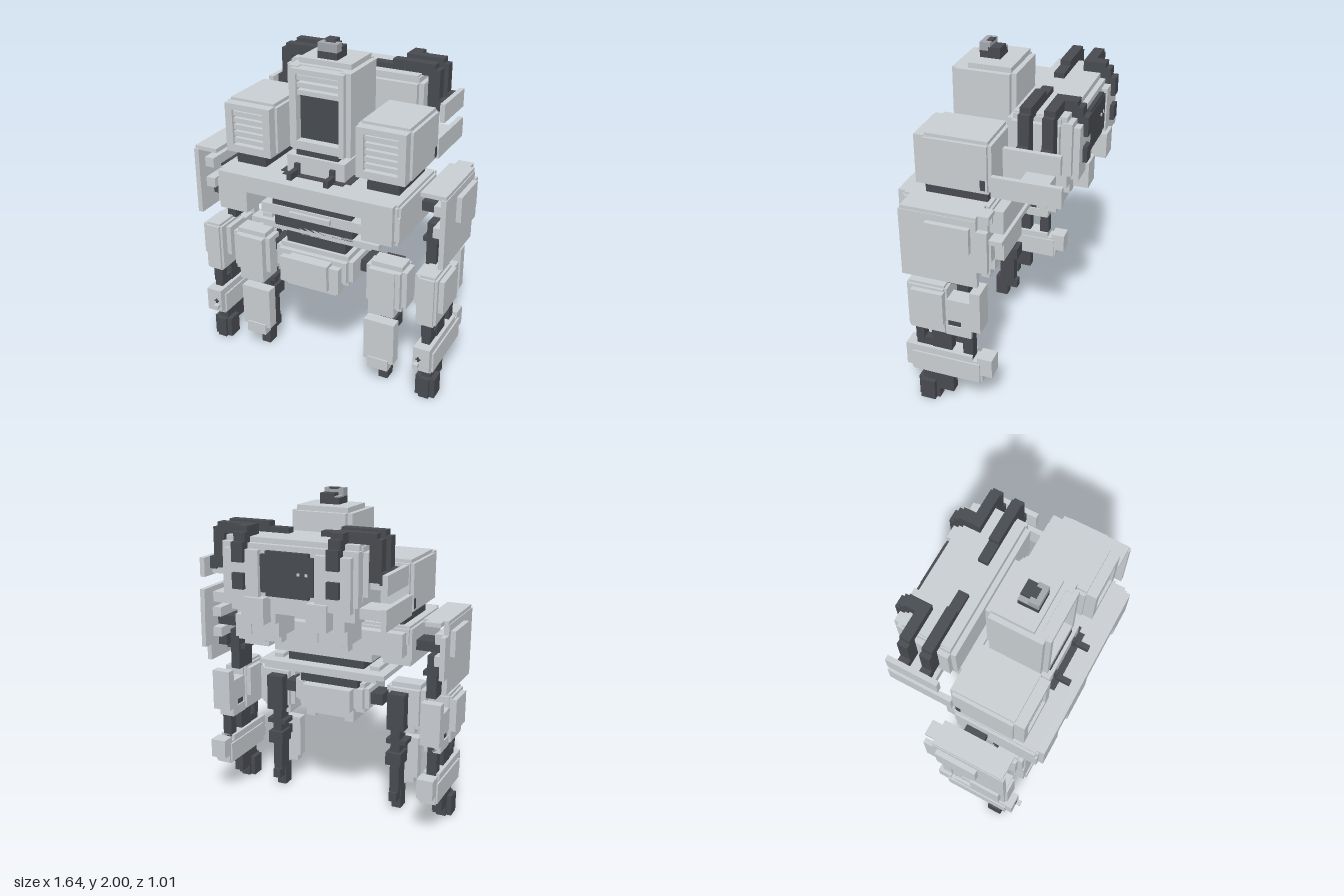
import * as THREE from 'three';
import { mergeGeometries } from 'three/addons/utils/BufferGeometryUtils.js';

const light = new THREE.MeshStandardMaterial({ color: 0xcacfd3 });
light.name = 'pale grey armour';
const dark = new THREE.MeshStandardMaterial({ color: 0x484b50 });
dark.name = 'charcoal frame';
const mid = new THREE.MeshStandardMaterial({ color: 0xa3a8ad });
mid.name = 'lamp grey';

// box given by its min and max on each axis
function boxGeo(x0, x1, y0, y1, z0, z1) {
  return new THREE.BoxGeometry(x1 - x0, y1 - y0, z1 - z0)
    .translate((x0 + x1) / 2, (y0 + y1) / 2, (z0 + z1) / 2);
}
// block whose edges are all cut back by one small step
function steppedGeo([x0, x1, y0, y1, z0, z1], s) {
  return mergeGeometries([
    boxGeo(x0, x1, y0 + s, y1 - s, z0 + s, z1 - s),
    boxGeo(x0 + s, x1 - s, y0, y1, z0 + s, z1 - s),
    boxGeo(x0 + s, x1 - s, y0 + s, y1 - s, z0, z1)
  ]);
}
function part(parent, name, mat, b, step = 0) {
  const m = new THREE.Mesh(step ? steppedGeo(b, step) : boxGeo(...b), mat);
  m.name = name;
  parent.add(m);
}
// same part on both sides of x = 0
function pair(parent, name, mat, b, step = 0) {
  part(parent, name + 'Left', mat, b, step);
  part(parent, name + 'Right', mat, [-b[1], -b[0], b[2], b[3], b[4], b[5]], step);
}
function section(root, name) {
  const g = new THREE.Group();
  g.name = name;
  root.add(g);
  return g;
}

export function createModel() {
  const root = new THREE.Group();
  root.name = 'walkingMachine';
  // head with recessed visor, brow slats and top lamp
  const head = section(root, 'head');
  part(head, 'headCore', light, [-0.19, 0.19, 1.4, 1.91, -0.06, 0.25], 0.03);
  pair(head, 'headCheek', light, [0.13, 0.19, 1.4, 1.88, 0.2, 0.285]);
  pair(head, 'headFrame', light, [0.13, 0.16, 1.4, 1.87, 0.28, 0.315]);
  part(head, 'headBrow', light, [-0.16, 0.16, 1.845, 1.875, 0.2, 0.315]);
  part(head, 'headChin', light, [-0.16, 0.16, 1.4, 1.46, 0.2, 0.315]);
  part(head, 'visor', dark, [-0.13, 0.13, 1.46, 1.72, 0.2, 0.265]);
  for (let i = 0; i < 3; i++)
    part(head, 'browSlat', light, [-0.13, 0.13, 1.725 + i * 0.042, 1.752 + i * 0.042, 0.2, 0.3]);
  part(head, 'lampBase', dark, [-0.06, 0.06, 1.9, 1.95, 0.07, 0.19]);
  part(head, 'lampRear', dark, [-0.03, 0.06, 1.95, 1.972, 0.07, 0.14]);
  part(head, 'lampRearTrim', mid, [-0.06, -0.03, 1.948, 1.956, 0.07, 0.14]);
  part(head, 'lamp', mid, [-0.06, 0.06, 1.95, 1.997, 0.13, 0.19]);
  part(head, 'lampLens', dark, [-0.03, 0.03, 1.99, 2.0, 0.129, 0.16]);
  // neck, flat collar and two small guns
  part(head, 'neck', light, [-0.18, 0.18, 1.26, 1.38, -0.06, 0.34]);
  part(head, 'neckSeal', dark, [-0.13, 0.13, 1.37, 1.41, 0, 0.32]);
  pair(head, 'collar', dark, [0.18, 0.22, 1.265, 1.275, 0.22, 0.345]);
  part(head, 'collarFront', dark, [-0.19, 0.19, 1.265, 1.275, 0.3, 0.38]);
  pair(head, 'gun', dark, [0.095, 0.125, 1.275, 1.34, 0.33, 0.36]);
  pair(head, 'gunBarrel', dark, [0.1, 0.13, 1.27, 1.31, 0.35, 0.44]);

  // shoulder pods with louvred fronts
  const pods = section(root, 'shoulderPods');
  pair(pods, 'pod', light, [0.25, 0.57, 1.34, 1.65, -0.06, 0.34], 0.02);
  pair(pods, 'podRimOuter', light, [0.51, 0.555, 1.345, 1.635, 0.3, 0.38]);
  pair(pods, 'podRimInner', light, [0.265, 0.31, 1.345, 1.635, 0.3, 0.38]);
  pair(pods, 'podRimTop', light, [0.31, 0.51, 1.6, 1.635, 0.3, 0.38]);
  pair(pods, 'podRimBottom', light, [0.31, 0.51, 1.345, 1.39, 0.3, 0.38]);
  for (let i = 0; i < 5; i++)
    pair(pods, 'louvre', light, [0.31, 0.51, 1.4 + i * 0.04, 1.427 + i * 0.04, 0.32, 0.365]);
  pair(pods, 'podFoot', dark, [0.32, 0.51, 1.26, 1.35, -0.02, 0.345]);

  // broad torso with arched front and stacked belly plates
  const torso = section(root, 'torso');
  part(torso, 'deck', light, [-0.57, 0.57, 1.15, 1.27, -0.06, 0.47], 0.015);
  part(torso, 'deckFront', light, [-0.54, 0.54, 1.17, 1.27, 0.44, 0.5]);
  part(torso, 'deckBack', light, [-0.54, 0.54, 1.1, 1.24, -0.12, -0.03]);
  pair(torso, 'sideBlock', light, [0.38, 0.57, 1.06, 1.2, -0.04, 0.47]);
  pair(torso, 'sideBlockFoot', light, [0.38, 0.55, 1.02, 1.07, 0, 0.44]);
  pair(torso, 'sideBlockFront', light, [0.36, 0.54, 1.04, 1.2, 0.43, 0.5]);
  part(torso, 'bellyUpper', dark, [-0.25, 0.25, 1.07, 1.16, 0.02, 0.4]);
  part(torso, 'bellyPlate', light, [-0.32, 0.32, 1.02, 1.08, -0.03, 0.41]);
  part(torso, 'bellyLip', light, [-0.13, 0.13, 1.035, 1.065, 0.4, 0.43]);
  part(torso, 'bellyLower', dark, [-0.25, 0.25, 0.94, 1.03, 0.02, 0.38]);
  part(torso, 'hipPlate', light, [-0.41, 0.41, 0.925, 0.955, -0.06, 0.38]);
  part(torso, 'hipPlateUnder', light, [-0.35, 0.35, 0.895, 0.93, -0.03, 0.35]);
  pair(torso, 'hipPlateTab', light, [0.29, 0.35, 0.95, 0.98, 0.02, 0.35]);
  part(torso, 'waist', dark, [-0.19, 0.19, 0.81, 0.9, 0.06, 0.35]);

  // pelvis with a hollow keel and narrower back
  const pelvis = section(root, 'pelvis');
  part(pelvis, 'pelvisBlock', light, [-0.25, 0.25, 0.64, 0.83, 0.08, 0.4], 0.03);
  part(pelvis, 'pelvisBack', light, [-0.16, 0.16, 0.66, 0.8, 0.02, 0.1]);
  pair(pelvis, 'pelvisKeelSide', light, [0.1, 0.16, 0.58, 0.66, 0.08, 0.41]);
  part(pelvis, 'pelvisKeelFront', light, [-0.1, 0.1, 0.58, 0.66, 0.34, 0.41]);
  part(pelvis, 'pelvisKeelRear', light, [-0.1, 0.1, 0.6, 0.66, 0.08, 0.13]);
  part(pelvis, 'pelvisFront', light, [-0.19, 0.19, 0.61, 0.77, 0.38, 0.44]);
  part(pelvis, 'pelvisCrest', light, [-0.13, 0.13, 0.63, 0.79, 0.4, 0.47]);
  pair(pelvis, 'hipJoint', dark, [0.24, 0.33, 0.7, 0.77, 0.13, 0.27]);

  // inner legs: thigh block, shin shield, dark strut and toe
  const inner = section(root, 'innerLegs');
  pair(inner, 'thigh', light, [0.32, 0.57, 0.54, 0.83, 0.2, 0.37], 0.03);
  pair(inner, 'thighShield', light, [0.35, 0.51, 0.51, 0.8, 0.22, 0.38]);
  pair(inner, 'thighBack', dark, [0.36, 0.47, 0.55, 0.78, 0.13, 0.21]);
  pair(inner, 'kneeStrut', dark, [0.38, 0.44, 0.13, 0.56, 0.15, 0.25]);
  pair(inner, 'kneeBar', dark, [0.35, 0.48, 0.45, 0.48, 0.15, 0.25]);
  pair(inner, 'kneeLink', dark, [0.38, 0.44, 0.34, 0.4, 0.2, 0.32]);
  pair(inner, 'kneeKnob', dark, [0.36, 0.46, 0.32, 0.4, 0.12, 0.24]);
  pair(inner, 'shinShield', light, [0.32, 0.51, 0.18, 0.45, 0.3, 0.37]);
  pair(inner, 'shinTip', light, [0.35, 0.48, 0.13, 0.2, 0.32, 0.38]);
  pair(inner, 'foot', dark, [0.38, 0.44, 0, 0.14, 0.2, 0.28]);
  pair(inner, 'heel', dark, [0.385, 0.435, 0.07, 0.13, 0.13, 0.21]);

  // side armour shells hung outside the outer legs
  const arms = section(root, 'sideArmour');
  pair(arms, 'sidePanel', light, [0.76, 0.79, 0.9, 1.31, -0.06, 0.38]);
  pair(arms, 'sidePanelRear', light, [0.76, 0.79, 1.0, 1.25, -0.12, -0.06]);
  pair(arms, 'sidePlate', light, [0.785, 0.82, 1.12, 1.27, -0.03, 0.22]);
  pair(arms, 'armourRoof', light, [0.64, 0.785, 1.305, 1.33, -0.06, 0.37]);
  pair(arms, 'armourRoofRear', light, [0.67, 0.76, 1.305, 1.33, -0.12, -0.06]);
  pair(arms, 'innerRib', light, [0.7, 0.76, 1.18, 1.24, -0.03, 0.32]);
  pair(arms, 'innerRibLow', light, [0.7, 0.76, 1.05, 1.11, -0.03, 0.32]);
  pair(arms, 'shoulderAxle', dark, [0.56, 0.76, 1.115, 1.175, 0.03, 0.16]);
  pair(arms, 'shoulderPlate', dark, [0.7, 0.76, 0.98, 1.05, 0.03, 0.25]);

  // outer legs: armoured upper, three struts, long shin, heavy foot
  const outer = section(root, 'outerLegs');
  pair(outer, 'upperStrut', dark, [0.63, 0.69, 0.82, 1.08, 0.06, 0.22]);
  pair(outer, 'upperStrutKnob', dark, [0.6, 0.73, 0.95, 0.98, 0.08, 0.2]);
  pair(outer, 'calfFront', light, [0.64, 0.76, 0.51, 0.83, 0.14, 0.38], 0.015);
  pair(outer, 'calfSide', light, [0.74, 0.79, 0.6, 0.8, 0.15, 0.34]);
  pair(outer, 'calfInside', light, [0.61, 0.66, 0.61, 0.8, 0.16, 0.32]);
  pair(outer, 'calfMiddle', light, [0.65, 0.75, 0.61, 0.75, 0, 0.15]);
  pair(outer, 'calfPiston', dark, [0.66, 0.74, 0.56, 0.62, 0.05, 0.15]);
  pair(outer, 'calfMiddleLow', light, [0.65, 0.75, 0.51, 0.57, 0.06, 0.15]);
  pair(outer, 'calfRear', light, [0.64, 0.76, 0.57, 0.83, -0.06, 0]);
  pair(outer, 'calfRearLow', light, [0.65, 0.75, 0.51, 0.61, 0, 0.06]);
  for (const [y0, z0, z1] of [[0.42, 0.3, 0.35], [0.34, 0.13, 0.25], [0.34, 0, 0.06]])
    pair(outer, 'ankleStrut', dark, [0.67, 0.73, y0, 0.54, z0, z1]);
  pair(outer, 'ankleBrace', dark, [0.675, 0.725, 0.36, 0.43, 0.14, 0.35]);
  pair(outer, 'shin', light, [0.64, 0.76, 0.2, 0.35, -0.06, 0.38], 0.012);
  pair(outer, 'shinTop', light, [0.65, 0.75, 0.33, 0.38, 0, 0.38]);
  pair(outer, 'shinRear', light, [0.65, 0.75, 0.26, 0.38, -0.12, -0.03]);
  pair(outer, 'shinFront', light, [0.65, 0.75, 0.23, 0.38, 0.37, 0.41]);
  pair(outer, 'shinTip', light, [0.66, 0.69, 0.26, 0.285, 0.4, 0.44]);
  pair(outer, 'shinBoltBar', dark, [0.668, 0.698, 0.3, 0.31, 0.408, 0.413]);
  pair(outer, 'shinBoltPost', dark, [0.678, 0.688, 0.29, 0.32, 0.408, 0.414]);
  pair(outer, 'ankle', dark, [0.67, 0.73, 0.07, 0.23, 0.13, 0.32]);
  // foot is a cross-shaped ring, open underneath
  pair(outer, 'footCore', dark, [0.67, 0.73, 0.05, 0.13, 0.25, 0.32]);
  pair(outer, 'footInnerWall', dark, [0.64, 0.67, 0, 0.13, 0.24, 0.33]);
  pair(outer, 'footOuterWall', dark, [0.73, 0.76, 0, 0.13, 0.24, 0.33]);
  pair(outer, 'footFrontWall', dark, [0.67, 0.73, 0, 0.13, 0.32, 0.35]);
  pair(outer, 'footRearWall', dark, [0.67, 0.73, 0, 0.13, 0.22, 0.25]);

  // backpack with hollow thrusters, side wings and rear hatch
  const pack = section(root, 'backpack');
  part(pack, 'packBody', light, [-0.44, 0.44, 1.47, 1.77, -0.42, -0.1], 0.03);
  part(pack, 'packTop', light, [-0.4, 0.4, 1.7, 1.78, -0.42, -0.13]);
  part(pack, 'packRear', light, [-0.41, 0.41, 1.45, 1.75, -0.45, -0.4]);
  pair(pack, 'packRearRib', light, [0.17, 0.38, 1.42, 1.72, -0.485, -0.44]);
  pair(pack, 'packRearPost', light, [0.13, 0.25, 1.31, 1.46, -0.505, -0.41]);
  part(pack, 'hatch', dark, [-0.16, 0.16, 1.49, 1.7, -0.478, -0.44]);
  part(pack, 'hatchPanel', dark, [-0.13, 0.13, 1.47, 1.72, -0.474, -0.44]);
  for (const x of [-0.13, -0.08])
    part(pack, 'hatchStud', light, [x, x + 0.015, 1.6, 1.615, -0.484, -0.477]);
  part(pack, 'packBase', light, [-0.38, 0.38, 1.36, 1.48, -0.42, -0.06]);
  pair(pack, 'packBaseLow', light, [0.1, 0.32, 1.3, 1.37, -0.42, -0.14]);
  part(pack, 'packLink', light, [-0.25, 0.25, 1.33, 1.45, -0.1, -0.03]);
  pair(pack, 'packPin', dark, [0.3, 0.571, 1.37, 1.43, -0.03, 0]);
  pair(pack, 'thrusterInnerWall', light, [0.1, 0.14, 1.21, 1.31, -0.38, -0.19]);
  pair(pack, 'thrusterOuterWall', light, [0.28, 0.32, 1.21, 1.31, -0.38, -0.19]);
  pair(pack, 'thrusterFrontWall', light, [0.14, 0.28, 1.15, 1.31, -0.28, -0.22]);
  pair(pack, 'thrusterRearWall', light, [0.14, 0.28, 1.2, 1.31, -0.37, -0.33]);
  pair(pack, 'wingUpper', light, [0.54, 0.57, 1.53, 1.64, -0.44, -0.13]);
  pair(pack, 'wingLower', light, [0.54, 0.57, 1.34, 1.46, -0.45, -0.06]);
  pair(pack, 'wingMount', light, [0.4, 0.55, 1.54, 1.58, -0.36, -0.2]);
  pair(pack, 'wingMountLow', light, [0.36, 0.55, 1.37, 1.43, -0.36, -0.2]);

  // dark hoses looping over the backpack
  const hoses = section(root, 'hoses');
  pair(hoses, 'frontHose', dark, [0.1, 0.51, 1.77, 1.81, -0.25, -0.19]);
  pair(hoses, 'frontHoseCrown', dark, [0.22, 0.48, 1.78, 1.84, -0.25, -0.19]);
  pair(hoses, 'rearHose', dark, [0.25, 0.48, 1.78, 1.84, -0.38, -0.32]);
  for (const z of [-0.25, -0.38]) {
    pair(hoses, 'hoseDrop', dark, [0.44, 0.51, 1.58, 1.81, z, z + 0.06]);
    pair(hoses, 'hoseEnd', dark, [0.5, 0.54, 1.57, 1.64, z, z + 0.06]);
  }
  pair(hoses, 'hoseBend', dark, [0.25, 0.32, 1.75, 1.84, -0.45, -0.37]);
  pair(hoses, 'hoseBack', dark, [0.25, 0.32, 1.7, 1.81, -0.48, -0.44]);
  pair(hoses, 'hoseTail', dark, [0.25, 0.32, 1.65, 1.76, -0.51, -0.47]);
  pair(hoses, 'hoseSocket', dark, [0.25, 0.32, 1.5, 1.59, -0.51, -0.47]);
  return root;
}
